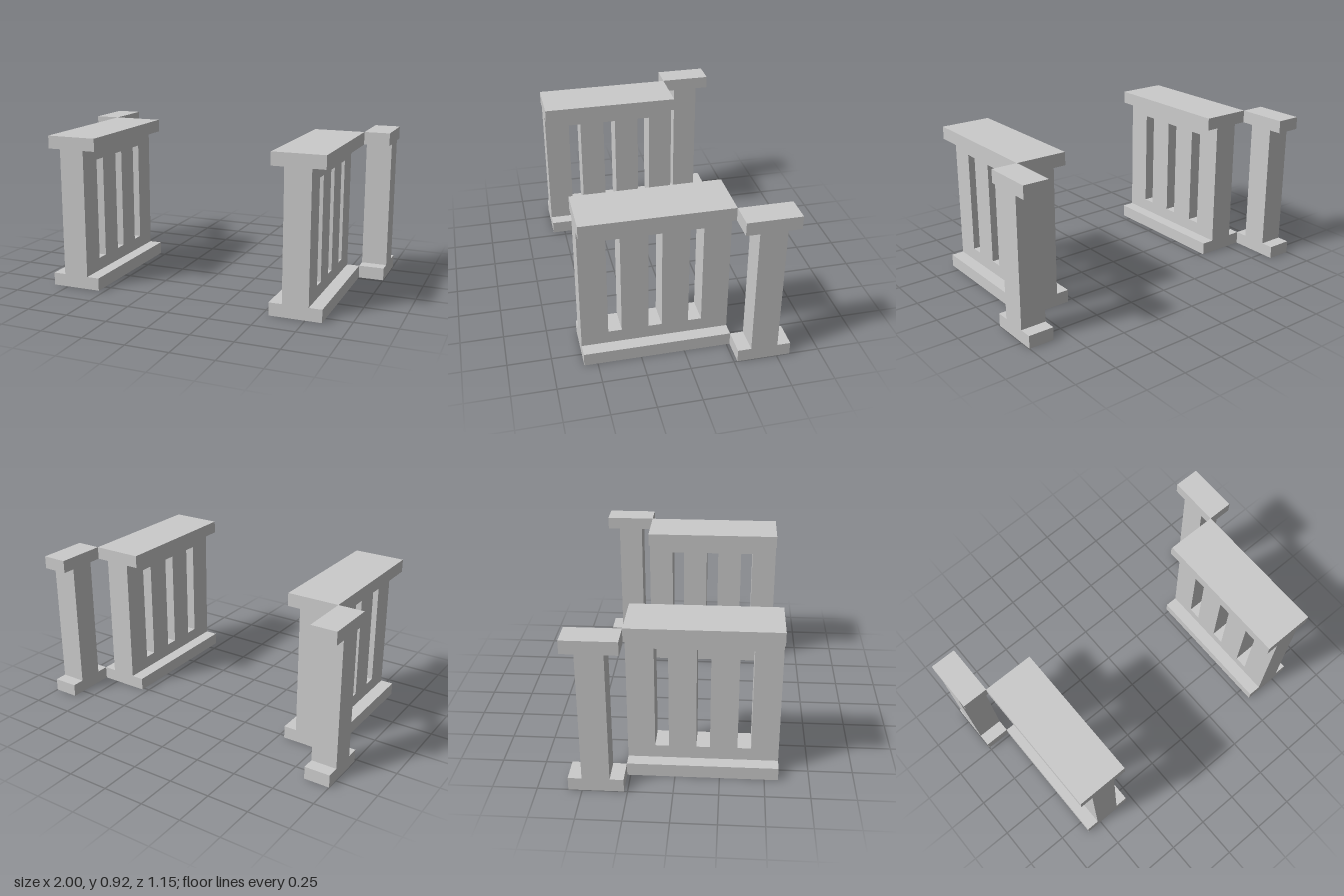
import * as THREE from 'three';

const U = 1 / 13; // every dimension is a multiple of this module
const material = new THREE.MeshStandardMaterial({ color: 0xcccccc, flatShading: true });

// Extrudes a (z, y) outline along x, from x0 to x1
function extrudeAlongX(shape, x0, x1) {
  const geometry = new THREE.ExtrudeGeometry(shape, { depth: x1 - x0, bevelEnabled: false });
  geometry.rotateY(-Math.PI / 2);
  return geometry.translate(x1, 0, 0).scale(U, U, U);
}

function rectangle(z0, z1, y0, y1, Type = THREE.Shape) {
  return new Type([[z0, y0], [z1, y0], [z1, y1], [z0, y1]].map(([z, y]) => new THREE.Vector2(z, y)));
}

function addMesh(group, name, geometry) {
  const mesh = new THREE.Mesh(geometry, material);
  mesh.name = name;
  group.add(mesh);
}

function createSide(side, name) {
  const group = new THREE.Group();
  group.name = name;
  const span = (a, b) => [Math.min(side * a, side * b), Math.max(side * a, side * b)];

  // Slotted wall
  const wall = rectangle(-3.5, 7.5, 1, 11);
  for (const z of [-1.5, 1.5, 4.5]) wall.holes.push(rectangle(z, z + 1, 2, 10, THREE.Path));
  addMesh(group, 'slottedPanel', extrudeAlongX(wall, ...span(8, 10)));

  // Wide rails under and over the wall
  addMesh(group, 'bottomRail', extrudeAlongX(rectangle(-3.5, 7.5, 0, 1), ...span(7, 11)));
  addMesh(group, 'topRail', extrudeAlongX(rectangle(-3.5, 7.5, 11, 12), ...span(7, 11)));

  // I-shaped rear post, touching the rails at their outer back corner
  const post = new THREE.Shape([
    [-7.5, 0], [-3.5, 0], [-3.5, 1], [-4.5, 1], [-4.5, 11], [-3.5, 11],
    [-3.5, 12], [-7.5, 12], [-7.5, 11], [-6.5, 11], [-6.5, 1], [-7.5, 1],
  ].map(([z, y]) => new THREE.Vector2(z, y)));
  addMesh(group, 'rearPost', extrudeAlongX(post, ...span(11, 13)));
  return group;
}

export function createModel() {
  const model = new THREE.Group();
  model.name = 'railings';
  model.add(createSide(1, 'leftRailing'), createSide(-1, 'rightRailing'));
  return model;
}
